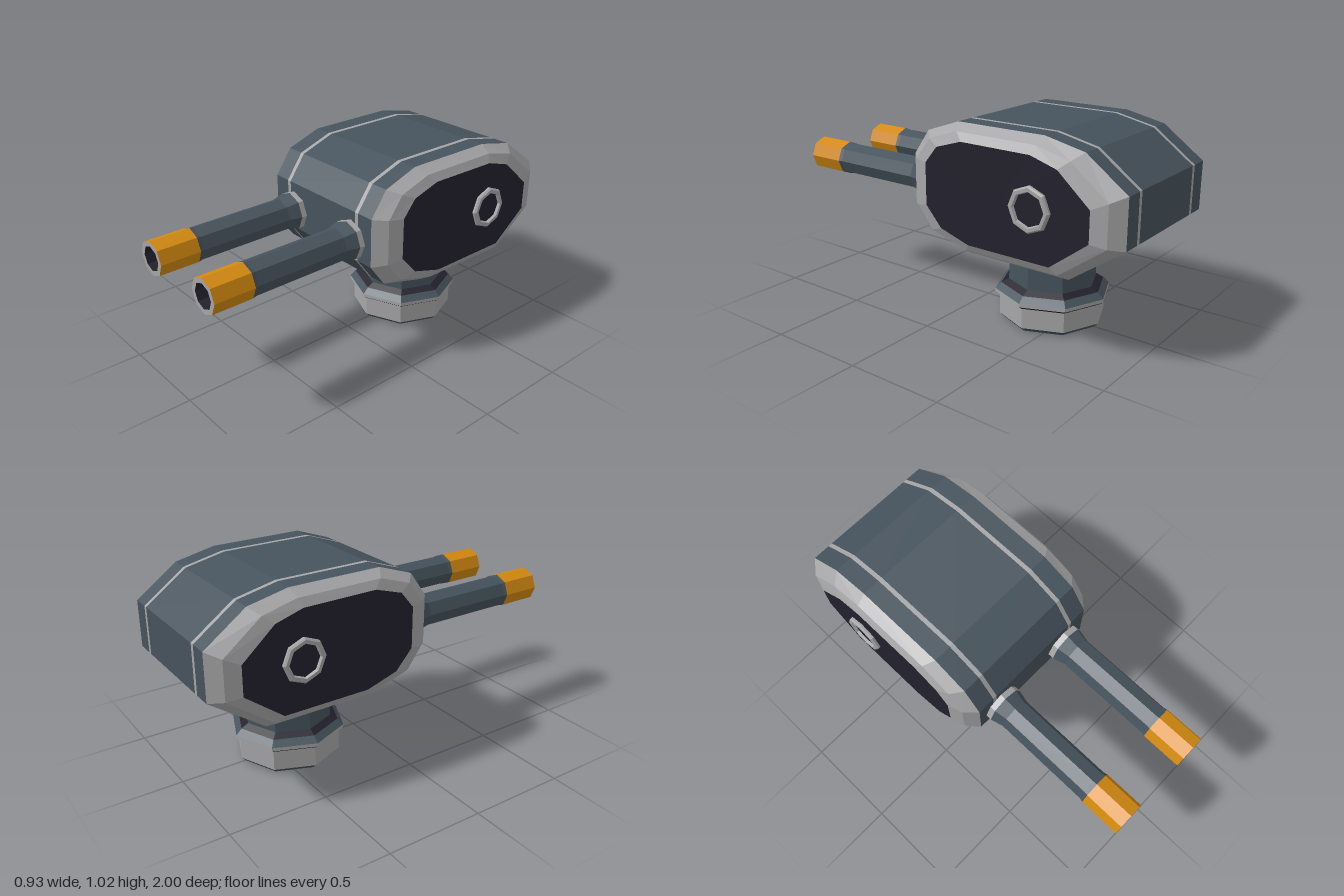
import * as THREE from 'three';

const mat = (name, color) => {
  const m = new THREE.MeshStandardMaterial({ color });
  m.name = name;
  return m;
};

export function createModel() {
  const slate = mat('slate', 0x46535d);
  const grey = mat('light grey', 0xa6a6a8);
  const dark = mat('dark', 0x23212d);
  const orange = mat('orange', 0xd48a10);

  const model = new THREE.Group();
  const add = (parent, name, geometry, material) => {
    const mesh = new THREE.Mesh(geometry, material);
    mesh.name = name;
    parent.add(mesh);
    return mesh;
  };

  // Faceted eight-sided turning; points run [radius, height]
  const turned = (points) => {
    const g = new THREE.LatheGeometry(points.map(([r, h]) => new THREE.Vector2(r, h)), 8).toNonIndexed();
    g.computeVertexNormals();
    return g;
  };

  // Faceted skin through [x, profile] sections, x ascending
  const loft = (sections) => {
    const pos = [];
    for (let s = 0; s < sections.length - 1; s++) {
      const [x0, p] = sections[s], [x1, q] = sections[s + 1];
      for (let i = 0; i < p.length; i++) {
        const j = (i + 1) % p.length;
        const a = [x0, p[i][1], p[i][0]], b = [x1, q[i][1], q[i][0]];
        const c = [x1, q[j][1], q[j][0]], d = [x0, p[j][1], p[j][0]];
        pos.push(...a, ...b, ...c, ...a, ...c, ...d);
      }
    }
    const g = new THREE.BufferGeometry();
    g.setAttribute('position', new THREE.Float32BufferAttribute(pos, 3));
    g.computeVertexNormals();
    return g;
  };

  // Housing profiles as [z, y]: full size, cap face, the bevel between, and a centre point
  const outer = [[0.17, 0.83], [0.08, 0.957], [-0.105, 1.022], [-0.585, 1.022], [-0.79, 0.978], [-1, 0.825],
    [-1, 0.585], [-0.725, 0.39], [-0.17, 0.39], [0.08, 0.457], [0.17, 0.578]];
  const inner = [[0.035, 0.82], [-0.035, 0.905], [-0.18, 0.95], [-0.56, 0.947], [-0.7, 0.905], [-0.865, 0.76],
    [-0.865, 0.61], [-0.67, 0.46], [-0.22, 0.46], [-0.055, 0.51], [0.035, 0.61]];
  const middle = outer.map(([z, y], i) => [z * 0.55 + inner[i][0] * 0.45, y * 0.55 + inner[i][1] * 0.45]);
  const centre = outer.map(() => [-0.4, 0.7]);

  // Housing
  const housing = new THREE.Group();
  housing.name = 'housing';
  model.add(housing);
  add(housing, 'middleShell', loft([[-0.25, outer], [0.25, outer]]), slate);

  for (const side of [1, -1]) {
    const label = side > 0 ? 'left' : 'right';
    const skin = (sections) => {
      const list = sections.map(([x, p]) => [x * side, p]);
      return loft(side > 0 ? list : list.reverse());
    };
    add(housing, label + 'Stripe', skin([[0.25, outer], [0.272, outer]]), grey);
    add(housing, label + 'Shell', skin([[0.272, outer], [0.365, outer]]), slate);
    add(housing, label + 'CapBevel', skin([[0.365, outer], [0.421, middle], [0.443, inner]]), grey);
    add(housing, label + 'CapFace', skin([[0.443, inner], [0.443, centre]]), dark);

    // Pivot boss on the cap
    const boss = new THREE.Group();
    boss.name = label + 'Boss';
    boss.position.set(0.443 * side, 0.705, -0.565);
    boss.rotation.z = -side * Math.PI / 2;
    add(boss, 'bossRing', turned([[0.11, 0], [0.11, 0.011], [0.102, 0.02], [0.085, 0.02], [0.08, 0.006]]), grey);
    add(boss, 'bossCentre', turned([[0.081, 0.006], [0, 0.006]]), dark);
    model.add(boss);

    // Barrel, its length running along +z
    const barrel = new THREE.Group();
    barrel.name = label + 'Barrel';
    barrel.position.set(0.222 * side, 0.68, 0);
    barrel.rotation.x = Math.PI / 2;
    add(barrel, 'collar', turned([[0.102, 0.1], [0.102, 0.2]]), grey);
    add(barrel, 'tube', turned([[0.102, 0.2], [0.085, 0.265], [0.085, 0.77], [0.09, 0.79]]), slate);
    add(barrel, 'muzzle', turned([[0.09, 0.79], [0.09, 1]]), orange);
    add(barrel, 'muzzleRim', turned([[0.09, 1], [0.064, 1]]), grey);
    add(barrel, 'bore', turned([[0.064, 1], [0.064, 0.85], [0, 0.85]]), dark);
    model.add(barrel);
  }

  // Pedestal, from the floor up
  const pedestal = new THREE.Group();
  pedestal.name = 'pedestal';
  pedestal.position.z = -0.41;
  model.add(pedestal);
  add(pedestal, 'underside', turned([[0, 0], [0.248, 0]]), dark);
  add(pedestal, 'footBevel', turned([[0.248, 0], [0.27, 0.022]]), slate);
  add(pedestal, 'foot', turned([[0.27, 0.022], [0.27, 0.125]]), grey);
  add(pedestal, 'lowerFlange', turned([[0.27, 0.125], [0.292, 0.14]]), dark);
  add(pedestal, 'flangeBand', turned([[0.292, 0.14], [0.292, 0.158]]), grey);
  add(pedestal, 'flangeSlope', turned([[0.292, 0.158], [0.262, 0.188]]), slate);
  add(pedestal, 'neckRing', turned([[0.262, 0.188], [0.224, 0.207]]), dark);
  add(pedestal, 'column', turned([[0.224, 0.207], [0.216, 0.42]]), slate);

  return model;
}
